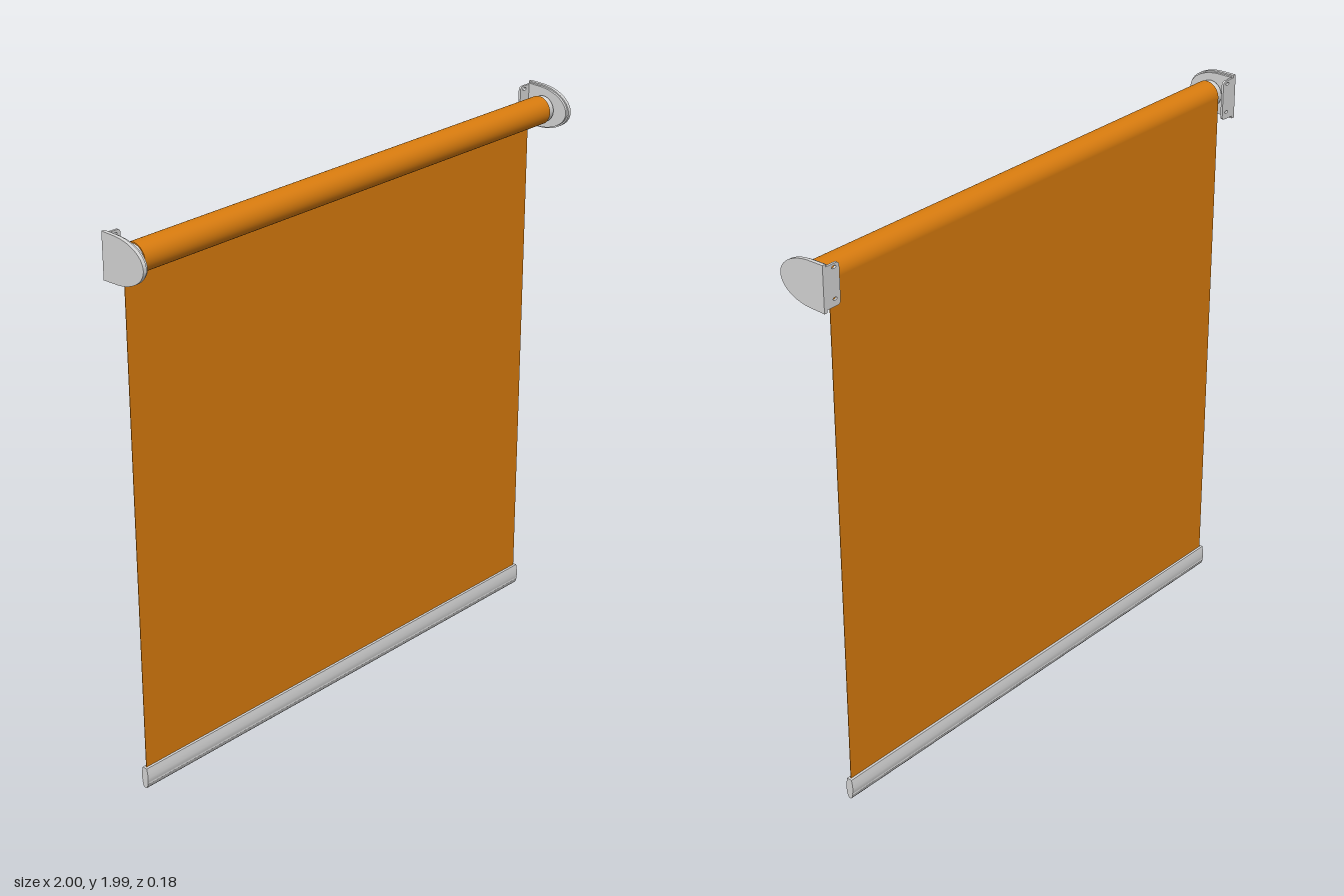
import * as THREE from 'three';
import { toCreasedNormals } from 'three/addons/utils/BufferGeometryUtils.js';

const fabricMat = new THREE.MeshStandardMaterial({ color: 0xd97c0e });
fabricMat.name = 'orange fabric';
const metalMat = new THREE.MeshStandardMaterial({ color: 0xd6d6d6 });
metalMat.name = 'light grey';

const AXIS_Y = 1.906, AXIS_Z = -0.009, SHEET_Z = -0.058;

function add(parent, name, geometry, material, x = 0, y = 0, z = 0) {
  const mesh = new THREE.Mesh(geometry, material);
  mesh.name = name;
  mesh.position.set(x, y, z);
  parent.add(mesh);
  return mesh;
}

// Extrudes a (-z, y) outline along x, centred on x = 0
function extrudeX(shape, width) {
  const g = new THREE.ExtrudeGeometry(shape, { depth: width, bevelEnabled: false, curveSegments: 24 });
  g.translate(0, 0, -width / 2);
  g.rotateY(Math.PI / 2);
  return toCreasedNormals(g, 0.6);
}

// D outline: straight back, half-ellipse front
function dShape(inset) {
  const h = 0.079 - inset, back = 0.09 - inset;
  const s = new THREE.Shape();
  s.moveTo(back, -h);
  s.lineTo(back, h);
  s.lineTo(0.04, h * 0.985);
  s.absellipse(0.04, 0, 0.13 - inset, h * 0.985, Math.PI / 2, Math.PI * 1.5, false);
  s.closePath();
  return s;
}

// Wall plate with rounded inner corners and two screw holes
function wallPlate(side) {
  const w = 0.056, h = 0.07, r = 0.014;
  const s = new THREE.Shape();
  s.moveTo(w, -h);
  s.lineTo(w, h);
  s.lineTo(r, h);
  s.quadraticCurveTo(0, h, 0, h - r);
  s.lineTo(0, -h + r);
  s.quadraticCurveTo(0, -h, r, -h);
  s.closePath();
  for (const y of [-0.045, 0.058]) {
    const hole = new THREE.Path();
    hole.absellipse(0.022, y, 0.009, 0.005, 0, Math.PI * 2, true);
    s.holes.push(hole);
  }
  const g = new THREE.ExtrudeGeometry(s, { depth: 0.008, bevelEnabled: false, curveSegments: 8 });
  if (side < 0) {
    g.rotateY(Math.PI);
    g.translate(0, 0, 0.008);
  }
  return toCreasedNormals(g, 0.6);
}

function cylinderX(radius, width) {
  return new THREE.CylinderGeometry(radius, radius, width, 48).rotateZ(Math.PI / 2);
}

export function createModel() {
  const model = new THREE.Group();
  model.name = 'rollerBlind';

  // Rolled fabric and hanging sheet
  add(model, 'fabricRoll', cylinderX(0.05, 1.894), fabricMat, 0, AXIS_Y, AXIS_Z);
  add(model, 'fabricSheet', new THREE.BoxGeometry(1.894, AXIS_Y - 0.06, 0.002),
    fabricMat, 0, (AXIS_Y + 0.06) / 2, SHEET_Z);

  // Bottom bar: bulged section with a shallow groove on each face
  const half = [[0.005, 0], [0.0095, 0.006], [0.0135, 0.02], [0.0125, 0.023],
    [0.0125, 0.027], [0.0145, 0.03], [0.015, 0.042], [0.0135, 0.06], [0.01, 0.078]];
  const outline = [...half, ...half.map(([z, y]) => [-z, y]).reverse()];
  const barShape = new THREE.Shape(outline.map(([z, y]) => new THREE.Vector2(z, y)));
  add(model, 'bottomBar', extrudeX(barShape, 1.9), metalMat, 0, 0, SHEET_Z);
  for (const s of [-1, 1]) {
    add(model, 'bottomBarEndCap', extrudeX(barShape, 0.004), metalMat, s * 0.952, 0, SHEET_Z);
  }

  // Brackets with roller end plugs
  for (const s of [-1, 1]) {
    const bracket = new THREE.Group();
    bracket.name = s > 0 ? 'leftBracket' : 'rightBracket';
    model.add(bracket);
    add(bracket, 'coverPlate', extrudeX(dShape(0), 0.013), metalMat, s * 0.9935, AXIS_Y, 0);
    add(bracket, 'innerPlate', extrudeX(dShape(0.005), 0.01), metalMat, s * 0.983, AXIS_Y, 0);
    add(bracket, 'wallPlate', wallPlate(s), metalMat, s * 0.932, AXIS_Y, -0.09);
    add(bracket, 'endPlug', cylinderX(0.046, 0.026), metalMat, s * 0.957, AXIS_Y, AXIS_Z);
    add(bracket, 'hub', cylinderX(0.034, 0.02), metalMat, s * 0.972, AXIS_Y, AXIS_Z);
  }
  return model;
}
